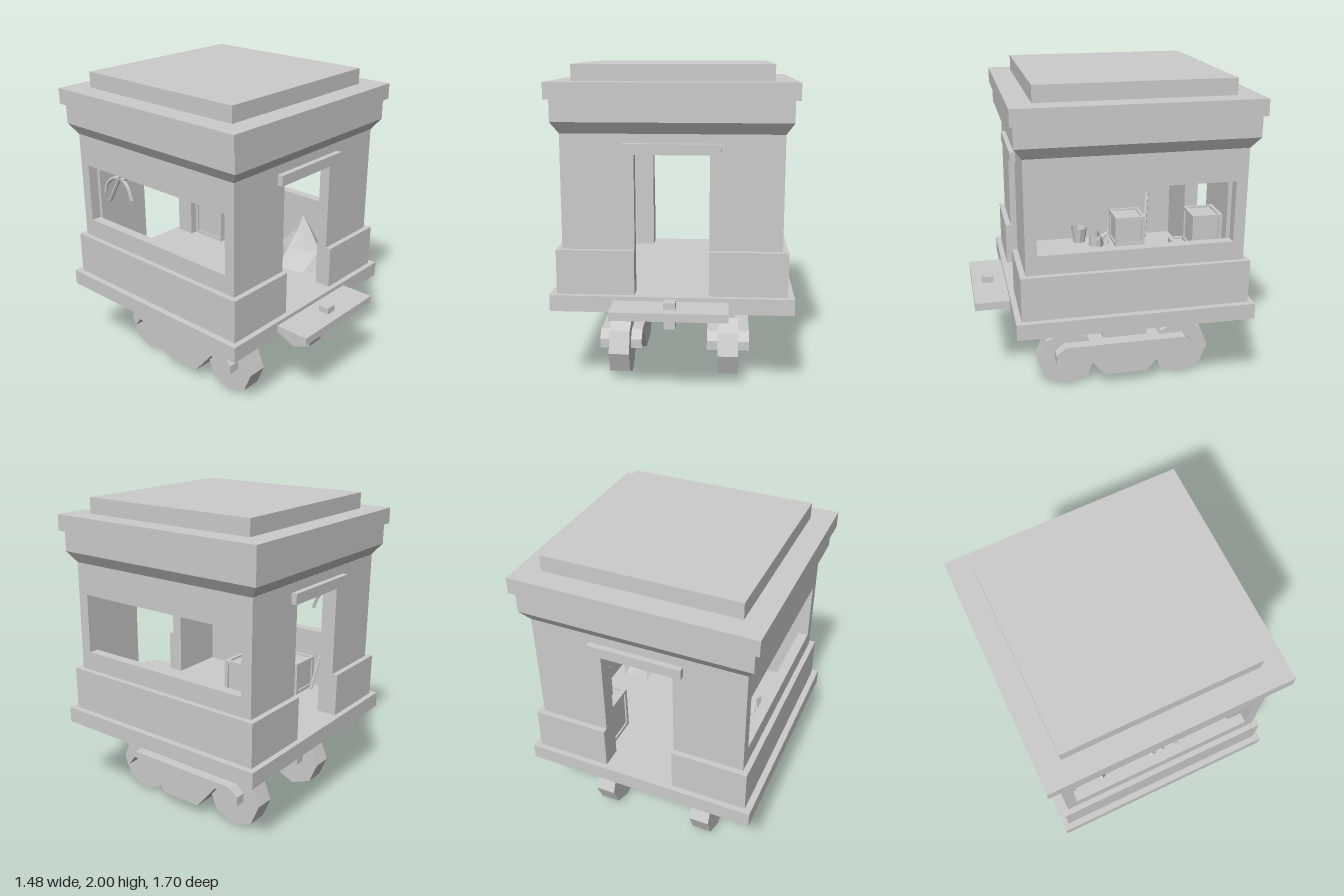
import * as THREE from 'three';

const mat = new THREE.MeshStandardMaterial({ color: 0xcccccc, flatShading: true });
const thin = new THREE.MeshStandardMaterial({ color: 0xcccccc, flatShading: true, side: THREE.DoubleSide });
const ZC = -0.107; // centre of the cabin along z

export function createModel() {
  const root = new THREE.Group();

  const add = (name, geo, parent = root, material = mat) => {
    const m = new THREE.Mesh(geo, material);
    m.name = name;
    parent.add(m);
    return m;
  };
  // box given by its limits on each axis
  const box = (name, x0, x1, y0, y1, z0, z1, parent = root) => {
    const g = new THREE.BoxGeometry(x1 - x0, y1 - y0, z1 - z0);
    g.translate((x0 + x1) / 2, (y0 + y1) / 2, (z0 + z1) / 2);
    return add(name, g, parent);
  };
  const path = (pts, Type) => {
    const s = new Type();
    pts.forEach(([a, b], i) => (i ? s.lineTo(a, b) : s.moveTo(a, b)));
    s.closePath();
    return s;
  };
  // profile drawn in (z, y), extruded between two x values
  const sideExtrude = (name, shape, x0, x1) => {
    const g = new THREE.ExtrudeGeometry(shape, { depth: x1 - x0, bevelEnabled: false });
    g.rotateY(-Math.PI / 2).translate(x1, 0, 0);
    return add(name, g);
  };
  // straight bar between two points
  const bar = (name, a, b, r, parent) => {
    const p = new THREE.Vector3(...a), q = new THREE.Vector3(...b);
    const m = add(name, new THREE.CylinderGeometry(r, r, p.distanceTo(q), 6), parent);
    m.position.copy(p).add(q).multiplyScalar(0.5);
    m.quaternion.setFromUnitVectors(new THREE.Vector3(0, 1, 0), q.sub(p).normalize());
  };

  // floor slab, coupling plate and pin
  box('floorSlab', -0.74, 0.74, 0.525, 0.625, -0.845, 0.63);
  box('couplingPlate', -0.35, 0.345, 0.55, 0.6, 0.6, 0.85);
  box('couplingPin', -0.035, 0.035, 0.48, 0.64, 0.71, 0.78);

  // side walls with a long window, and the thicker skirt below
  for (const s of [-1, 1]) {
    const wall = path([[-0.775, 0.9], [0.56, 0.9], [0.56, 1.6], [-0.775, 1.6]], THREE.Shape);
    wall.holes.push(path([[-0.705, 1.02], [-0.705, 1.4], [0.49, 1.4], [0.49, 1.02]], THREE.Path));
    const [a, b] = s > 0 ? [0.6, 0.665] : [-0.665, -0.6];
    sideExtrude('sideWall', wall, a, b);
    box('sideSkirt', s > 0 ? 0.6 : -0.7, s > 0 ? 0.7 : -0.6, 0.625, 0.9, -0.81, 0.595);
  }

  // end walls with doorway, skirts and lintel
  const ends = [
    { wall: [0.49, 0.56], skirt: [0.49, 0.595], lintel: [0.54, 0.595] },
    { wall: [-0.775, -0.68], skirt: [-0.81, -0.68], lintel: [-0.81, -0.755] },
  ];
  for (const e of ends) {
    for (const s of [-1, 1]) {
      const [a, b] = s > 0 ? [0.225, 0.6] : [-0.6, -0.225];
      box('doorPier', a, b, 0.9, 1.6, ...e.wall);
      box('endSkirt', a, b, 0.625, 0.9, ...e.skirt);
    }
    box('doorHeader', -0.225, 0.225, 1.48, 1.6, ...e.wall);
    box('lintel', -0.29, 0.29, 1.48, 1.545, ...e.lintel);
  }

  // flared cornice: a box narrowed at its lower corners
  const flare = new THREE.BoxGeometry(1.42, 0.07, 1.435);
  const p = flare.attributes.position;
  for (let i = 0; i < p.count; i++) {
    if (p.getY(i) < 0) {
      p.setX(i, Math.sign(p.getX(i)) * 0.665);
      p.setZ(i, Math.sign(p.getZ(i)) * 0.667);
    }
  }
  flare.translate(0, 1.635, ZC).computeVertexNormals();
  add('corniceFlare', flare);
  box('corniceBand', -0.71, 0.71, 1.67, 1.8, -0.825, 0.61);
  box('roofSlab', -0.74, 0.74, 1.8, 1.9, -0.845, 0.63);
  box('roofCap', -0.6, 0.6, 1.9, 2.0, -0.705, 0.49);

  // bogies: post, frame with hooked arms, two octagonal wheels
  const half = [[0.14, 0.08], [0.285, 0.255], [0.405, 0.255], [0.455, 0.19], [0.455, 0.25], [0.395, 0.3]];
  const zMid = -0.095;
  const profile = [
    ...half.map(([z, y]) => [zMid + z, y]),
    ...half.slice().reverse().map(([z, y]) => [zMid - z, y]),
  ];
  for (const s of [-1, 1]) {
    const x = s * 0.345;
    box('bogiePost', x - 0.046, x + 0.046, 0.28, 0.53, -0.25, 0.04);
    sideExtrude('bogieFrame', path(profile, THREE.Shape), x - 0.135, x + 0.135);
    for (const z of [0.28, -0.475]) {
      const wheel = new THREE.CylinderGeometry(0.19, 0.19, 0.13, 8).rotateZ(Math.PI / 2);
      add('wheel', wheel).position.set(x, 0.19, z);
    }
  }

  // framed crates
  const crate = (x, y, z, w, h, d) => {
    const g = new THREE.Group();
    g.name = 'crate';
    g.position.set(x, y + h / 2, z);
    root.add(g);
    const t = 0.022;
    add('crateCore', new THREE.BoxGeometry(w - t, h - t, d - t), g);
    const size = [w, h, d];
    for (let axis = 0; axis < 3; axis++) {
      for (const a of [-1, 1]) for (const b of [-1, 1]) {
        const dims = [t, t, t], pos = [0, 0, 0];
        const u = (axis + 1) % 3, v = (axis + 2) % 3;
        dims[axis] = size[axis];
        pos[u] = a * (size[u] - t) / 2;
        pos[v] = b * (size[v] - t) / 2;
        add('crateEdge', new THREE.BoxGeometry(...dims), g).position.set(...pos);
      }
    }
  };
  crate(0.42, 0.625, -0.545, 0.3, 0.3, 0.26);
  crate(0.43, 0.925, -0.585, 0.2, 0.225, 0.19);
  crate(-0.47, 0.625, -0.32, 0.22, 0.22, 0.22);

  // heap of rubble beside the front door
  const heap = new THREE.ConeGeometry(0.2, 0.34, 7, 3);
  const hp = heap.attributes.position;
  for (let i = 0; i < hp.count; i++) {
    const k = 1 + 0.14 * Math.sin(hp.getX(i) * 37 + hp.getZ(i) * 23 + hp.getY(i) * 11);
    hp.setX(i, hp.getX(i) * k);
    hp.setZ(i, hp.getZ(i) * k);
  }
  add('rubbleHeap', heap).position.set(0.44, 0.795, 0.21);

  // small jagged rocks and an open bucket on the other side
  for (let i = 0; i < 6; i++) {
    const a = i * 1.05;
    const rock = add('jaggedRock', new THREE.ConeGeometry(0.045, 0.13, 4));
    rock.position.set(-0.45 + 0.06 * Math.cos(a), 0.67, -0.1 + 0.06 * Math.sin(a));
    rock.rotation.set(0.5 * Math.sin(a), a, -0.5 * Math.cos(a));
  }
  add('bucket', new THREE.CylinderGeometry(0.06, 0.045, 0.11, 8, 1, true), root, thin).position.set(-0.53, 0.68, 0.03);
  add('bucketBase', new THREE.CylinderGeometry(0.046, 0.046, 0.01, 8)).position.set(-0.53, 0.632, 0.03);

  // picks leaning in the back corner
  const picks = new THREE.Group();
  picks.name = 'picks';
  root.add(picks);
  const arc = [[1.2, -0.42], [1.28, -0.45], [1.33, -0.51], [1.315, -0.59], [1.27, -0.65], [1.2, -0.675]];
  const curve = new THREE.CatmullRomCurve3(arc.map(([y, z]) => new THREE.Vector3(-0.56, y, z)));
  add('pickHead', new THREE.TubeGeometry(curve, 10, 0.012, 5), picks);
  bar('pickHandle', [-0.57, 1.4, -0.475], [-0.54, 1.13, -0.665], 0.012, picks);
  bar('pickProng', [-0.56, 1.36, -0.43], [-0.56, 1.32, -0.51], 0.011, picks);
  bar('leaningHandle', [-0.58, 0.96, -0.5], [-0.5, 0.63, -0.46], 0.013, picks);

  return root;
}
